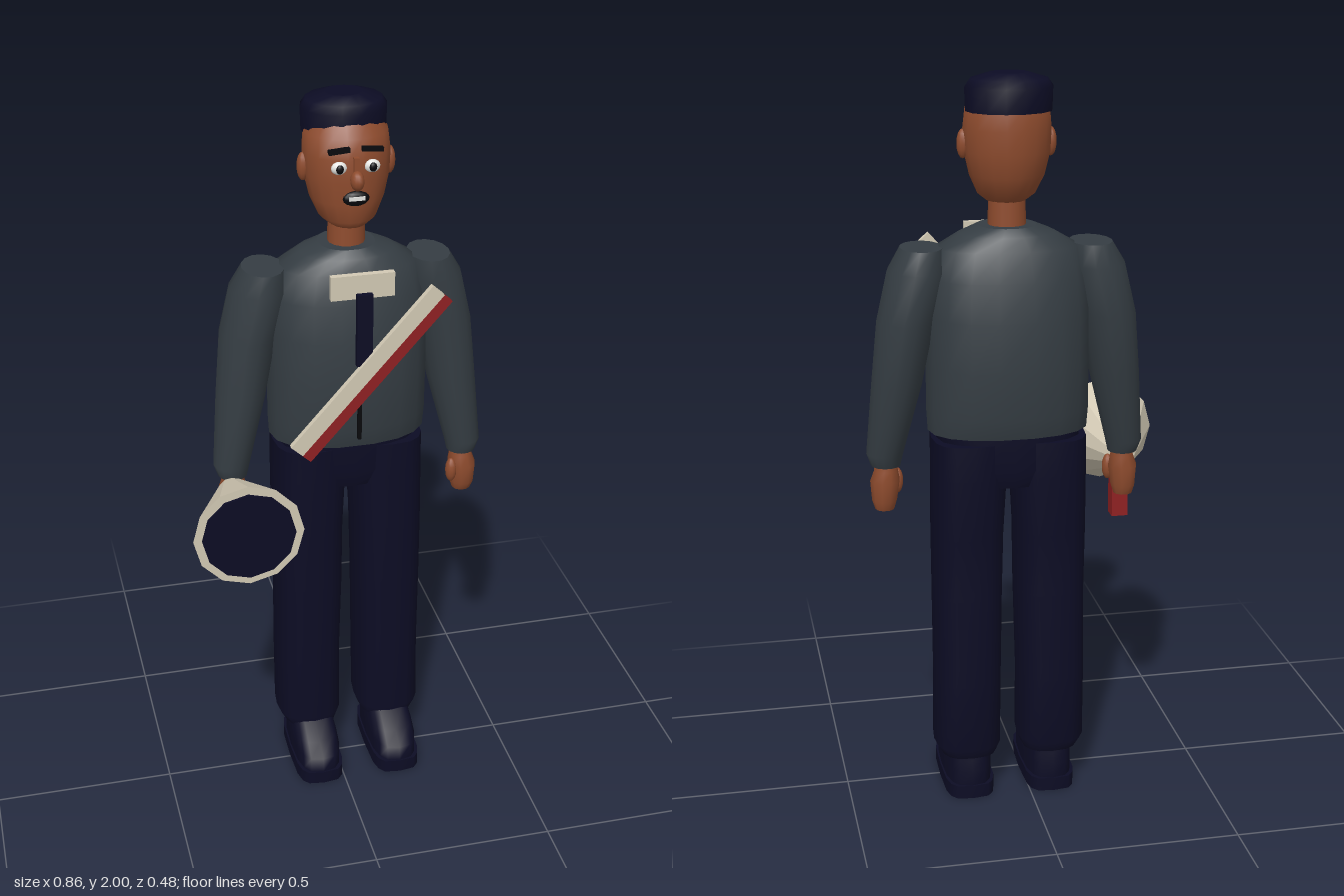
import * as THREE from 'three';

const CX = 0.05; // body centre line
const mat = (name, color) => {
  const m = new THREE.MeshStandardMaterial({ color });
  m.name = name;
  return m;
};

// Stacked horizontal rings [y, centreX, centreZ, radiusX, radiusZ]; power > 2 squares them off
function loft(rings, sides = 16, power = 2) {
  const pos = [], idx = [];
  const c = (v) => Math.sign(v) * Math.abs(v) ** (2 / power);
  const addRing = ([y, cx, cz, rx, rz]) => {
    const start = pos.length / 3;
    for (let i = 0; i < sides; i++) {
      const a = (i / sides) * Math.PI * 2;
      pos.push(cx + rx * c(Math.cos(a)), y, cz + rz * c(Math.sin(a)));
    }
    return start;
  };
  const starts = rings.map(addRing);
  for (let r = 0; r < rings.length - 1; r++) {
    for (let i = 0; i < sides; i++) {
      const j = (i + 1) % sides, a = starts[r], b = starts[r + 1];
      idx.push(a + i, b + i, a + j, a + j, b + i, b + j);
    }
  }
  for (const top of [false, true]) {
    const ring = top ? rings[rings.length - 1] : rings[0];
    const s = addRing(ring), m = pos.length / 3;
    pos.push(ring[1], ring[0], ring[2]);
    for (let i = 0; i < sides; i++) {
      const j = (i + 1) % sides;
      if (top) idx.push(m, s + j, s + i);
      else idx.push(m, s + i, s + j);
    }
  }
  const g = new THREE.BufferGeometry();
  g.setAttribute('position', new THREE.Float32BufferAttribute(pos, 3));
  g.setIndex(idx);
  g.computeVertexNormals();
  return g;
}

const ball = (rx, ry, rz) => new THREE.SphereGeometry(1, 12, 8).scale(rx, ry, rz);
const box = (w, h, d) => new THREE.BoxGeometry(w, h, d);

export function createModel() {
  const group = new THREE.Group();
  const navy = mat('navy cloth', 0x0c0c24);
  const slate = mat('slate jacket', 0x353d43);
  const skin = mat('brown skin', 0x8f4c2e);
  const cream = mat('cream', 0xd2c9b4);
  const red = mat('dark red', 0x8f2022);
  const white = mat('white', 0xe6e6e2);
  const black = mat('black', 0x08080c);

  const add = (name, geometry, material, x = 0, y = 0, z = 0) => {
    const m = new THREE.Mesh(geometry, material);
    m.name = name;
    m.position.set(x, y, z);
    group.add(m);
    return m;
  };

  // Jacket body
  add('jacket', loft([
    [1.065, CX, -0.08, 0.215, 0.135],
    [1.12, CX, -0.08, 0.218, 0.15],
    [1.25, CX, -0.08, 0.218, 0.158],
    [1.38, CX, -0.08, 0.217, 0.153],
    [1.48, CX, -0.08, 0.21, 0.135],
    [1.555, CX, -0.08, 0.185, 0.115],
    [1.59, CX, -0.08, 0.125, 0.095],
    [1.61, CX, -0.08, 0.075, 0.075],
  ], 18, 2.3), slate);
  add('zip', box(0.01, 0.27, 0.012), black, CX, 1.235, 0.076);

  // Hips
  add('hips', loft([
    [0.92, CX, -0.082, 0.12, 0.1],
    [0.97, CX, -0.082, 0.19, 0.114],
    [1.075, CX, -0.082, 0.195, 0.115],
  ], 16, 2.6), navy);

  for (const s of [-1, 1]) {
    const side = s > 0 ? 'left' : 'right';
    const at = (d) => CX + s * d;

    // Trouser leg
    add(side + 'Leg', loft([
      [0.12, at(0.115), -0.067, 0.078, 0.09],
      [0.15, at(0.118), -0.07, 0.092, 0.1],
      [0.35, at(0.117), -0.079, 0.091, 0.109],
      [0.6, at(0.114), -0.072, 0.094, 0.106],
      [0.78, at(0.113), -0.078, 0.096, 0.112],
      [0.95, at(0.108), -0.083, 0.1, 0.117],
      [1.045, at(0.107), -0.083, 0.1, 0.117],
    ], 16, 2.8), navy);

    // Shoe
    add(side + 'Sole', loft([
      [0, at(0.115), -0.01, 0.07, 0.154],
      [0.038, at(0.115), -0.01, 0.07, 0.154],
    ], 16, 4), navy);
    add(side + 'Shoe', loft([
      [0.038, at(0.115), -0.01, 0.066, 0.15],
      [0.08, at(0.115), -0.012, 0.066, 0.148],
      [0.11, at(0.115), -0.03, 0.064, 0.122],
      [0.14, at(0.115), -0.06, 0.06, 0.09],
    ], 16, 3), navy);

    // Sleeve
    add(side + 'Sleeve', loft([
      [0.965, at(0.325), -0.05, 0.04, 0.042],
      [1.0, at(0.327), -0.052, 0.05, 0.054],
      [1.2, at(0.293), -0.072, 0.068, 0.077],
      [1.37, at(0.268), -0.083, 0.077, 0.09],
      [1.5, at(0.235), -0.082, 0.08, 0.089],
      [1.558, at(0.224), -0.078, 0.056, 0.078],
    ], 14), slate);

    // Hand with thumb
    add(side + 'Hand', loft([
      [0.84, at(0.33), -0.048, 0.026, 0.026],
      [0.865, at(0.33), -0.046, 0.034, 0.038],
      [0.92, at(0.328), -0.046, 0.04, 0.044],
      [0.95, at(0.325), -0.048, 0.032, 0.036],
      [0.985, at(0.325), -0.05, 0.03, 0.032],
    ], 10), skin);
    add(side + 'Thumb', ball(0.016, 0.036, 0.018), skin, at(0.292), 0.91, -0.025);

    // Ear, eye and brow
    add(side + 'Ear', ball(0.016, 0.038, 0.019), skin, at(0.114), 1.82, -0.082);
    add(side + 'Eye', ball(0.021, 0.017, 0.012), white, at(0.043), 1.843, 0.018);
    add(side + 'Pupil', ball(0.01, 0.012, 0.006), black, at(0.043), 1.843, 0.029);
    const brow = add(side + 'Brow', box(0.055, 0.011, 0.016), black, at(0.043), 1.888, 0.019);
    brow.rotation.z = -s * 0.08;
  }

  // Neck and head
  add('neck', new THREE.CylinderGeometry(0.048, 0.05, 0.12, 14), skin, CX, 1.64, -0.08);
  add('head', loft([
    [1.67, CX, -0.065, 0.05, 0.06],
    [1.69, CX, -0.07, 0.075, 0.082],
    [1.74, CX, -0.08, 0.098, 0.098],
    [1.8, CX, -0.084, 0.112, 0.106],
    [1.86, CX, -0.085, 0.115, 0.108],
    [1.91, CX, -0.09, 0.11, 0.1],
    [1.95, CX, -0.1, 0.085, 0.078],
  ], 18), skin);

  // Nose and mouth
  add('nose', ball(0.018, 0.026, 0.024), skin, CX, 1.812, 0.036);
  add('noseBridge', box(0.014, 0.06, 0.02), skin, CX, 1.84, 0.022);
  add('mouth', ball(0.035, 0.02, 0.012), black, CX, 1.762, 0.025);
  add('teeth', box(0.042, 0.01, 0.005), white, CX, 1.765, 0.036);

  // Round brimless cap
  add('cap', loft([
    [1.905, CX, -0.112, 0.112, 0.097],
    [1.965, CX, -0.112, 0.114, 0.1],
    [1.985, CX, -0.112, 0.1, 0.088],
    [2.0, CX, -0.112, 0.05, 0.045],
  ], 14), navy);

  // Collar and tie
  add('collar', box(0.168, 0.065, 0.018), cream, CX, 1.553, 0.094);
  add('tie', box(0.042, 0.2, 0.016), navy, CX, 1.44, 0.12);

  // Two-tone sash
  const sash = (name, material, x, y, width) => {
    add(name, box(0.565, width, 0.017), material, x, y, 0.131).rotation.z = 0.845;
  };
  sash('sashCream', cream, 0.053, 1.327, 0.042);
  sash('sashRed', red, 0.079, 1.303, 0.03);

  // Megaphone
  const horn = new THREE.CylinderGeometry(0.148, 0.037, 0.247, 12)
    .rotateX(Math.PI / 2).toNonIndexed();
  horn.computeVertexNormals();
  add('megaphoneHorn', horn, cream, -0.285, 0.936, 0.1085);
  add('megaphoneMouth', new THREE.CylinderGeometry(0.125, 0.125, 0.009, 12).rotateX(Math.PI / 2),
    navy, -0.285, 0.936, 0.2355);
  add('megaphoneHandle', box(0.045, 0.17, 0.045), red, -0.285, 0.837, 0.02);

  return group;
}
